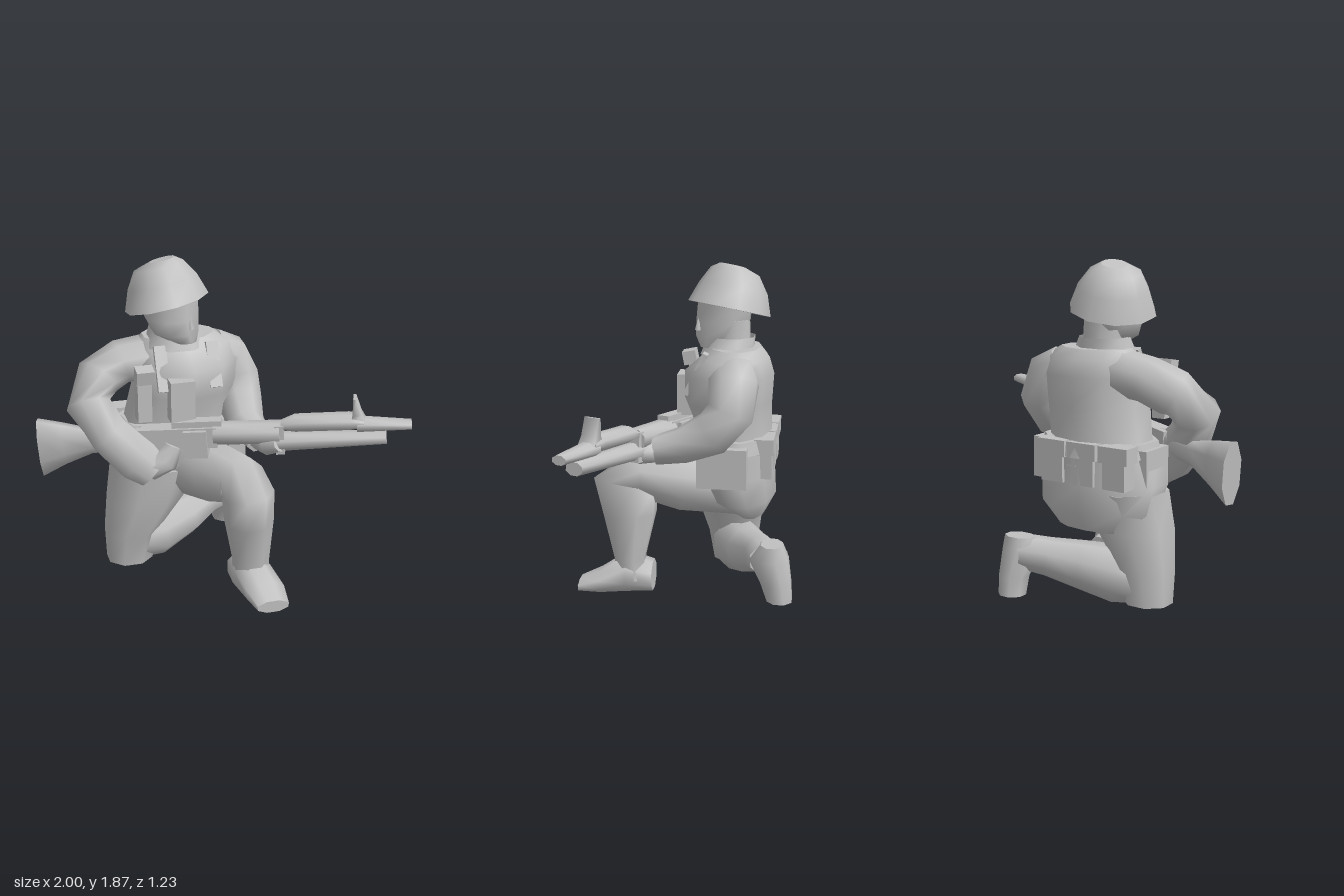
import * as THREE from 'three';

const grey = new THREE.MeshStandardMaterial({ color: 0xc0c0c0, side: THREE.DoubleSide });
grey.name = 'plain grey';

const V = (x, y, z) => new THREE.Vector3(x, y, z);
const X = V(1, 0, 0), Y = V(0, 1, 0), Z = V(0, 0, 1);

function part(parent, name, geometry) {
  const mesh = new THREE.Mesh(geometry, grey);
  mesh.name = name;
  parent.add(mesh);
  return mesh;
}

// Skin over cross-sections [x, y, z, halfA, halfB]; "ref" is the direction of halfA,
// "axis" fixes the plane of all sections instead of following the path.
function loft(sections, ref, { axis = null, sides = 8, caps = true } = {}) {
  const pos = [], index = [], centres = sections.map(s => V(s[0], s[1], s[2]));
  const last = sections.length - 1, grow = 1 / Math.cos(Math.PI / sides);
  const ringPoints = sections.map((s, i) => {
    const t = axis ?? centres[Math.min(i + 1, last)].clone().sub(centres[Math.max(i - 1, 0)]).normalize();
    const a = ref.clone().addScaledVector(t, -ref.dot(t)).normalize();
    const b = t.clone().cross(a);
    return Array.from({ length: sides }, (_, k) => {
      const w = (k + 0.5) / sides * Math.PI * 2;
      return centres[i].clone()
        .addScaledVector(a, Math.cos(w) * s[3] * grow)
        .addScaledVector(b, Math.sin(w) * (s[4] ?? s[3]) * grow);
    });
  });
  ringPoints.forEach(r => r.forEach(p => pos.push(p.x, p.y, p.z)));
  for (let i = 0; i < last; i++) for (let k = 0; k < sides; k++) {
    const n = (k + 1) % sides, o = i * sides, q = o + sides;
    index.push(o + k, o + n, q + n, o + k, q + n, q + k);
  }
  if (caps) for (const i of [0, last]) {
    const o = pos.length / 3;
    ringPoints[i].forEach(p => pos.push(p.x, p.y, p.z));
    for (let k = 1; k < sides - 1; k++)
      index.push(o, ...(i === 0 ? [o + k + 1, o + k] : [o + k, o + k + 1]));
  }
  const g = new THREE.BufferGeometry();
  g.setAttribute('position', new THREE.Float32BufferAttribute(pos, 3));
  g.setIndex(index);
  g.computeVertexNormals();
  return g;
}

function box(parent, name, [x, y, z], [w, h, d], [rx, ry, rz] = [0, 0, 0]) {
  const m = part(parent, name, new THREE.BoxGeometry(w, h, d));
  m.position.set(x, y, z);
  m.rotation.set(rx, ry, rz);
  return m;
}

function buildBody(g) {
  part(g, 'jacket', loft([
    [-0.17, 0.78, -0.23, 0.33, 0.23], [-0.17, 0.92, -0.23, 0.29, 0.21],
    [-0.13, 1.1, -0.2, 0.29, 0.24], [-0.12, 1.26, -0.205, 0.29, 0.245],
    [-0.13, 1.35, -0.24, 0.27, 0.185], [-0.15, 1.405, -0.24, 0.2, 0.14]], X, { axis: Y, sides: 10 }));
  part(g, 'hips', loft([
    [-0.2, 0.42, -0.34, 0.21, 0.08], [-0.19, 0.53, -0.28, 0.34, 0.19],
    [-0.19, 0.68, -0.23, 0.37, 0.23], [-0.17, 0.86, -0.23, 0.33, 0.23]], X, { axis: Y, sides: 10 }));
  part(g, 'rightSleeve', loft([
    [-0.28, 1.28, -0.24, 0.14, 0.12], [-0.48, 1.255, -0.25, 0.13, 0.115], [-0.62, 1.19, -0.21, 0.13, 0.12],
    [-0.7, 1.07, -0.1, 0.12], [-0.6, 0.92, 0.0, 0.1, 0.115], [-0.45, 0.77, 0.05, 0.09, 0.125],
    [-0.37, 0.7, 0.07, 0.08, 0.1]], Z));
  part(g, 'rightHand', loft([
    [-0.4, 0.72, 0.07, 0.07], [-0.3, 0.77, 0.09, 0.07], [-0.26, 0.86, 0.09, 0.05]], Z));
  part(g, 'leftSleeve', loft([
    [0.06, 1.31, -0.24, 0.08, 0.12], [0.15, 1.25, -0.26, 0.11, 0.135], [0.2, 1.1, -0.25, 0.125, 0.13],
    [0.2, 0.98, -0.15, 0.12], [0.19, 0.9, 0.02, 0.1, 0.095], [0.22, 0.87, 0.18, 0.075]], X));
  part(g, 'leftHand', loft([
    [0.22, 0.87, 0.16, 0.06], [0.26, 0.87, 0.25, 0.07, 0.06], [0.3, 0.9, 0.31, 0.05]], X));

  // Front leg, foot planted
  part(g, 'leftTrouserLeg', loft([
    [-0.14, 0.61, -0.25, 0.18, 0.19], [0.0, 0.635, 0.06, 0.16, 0.16], [0.08, 0.69, 0.3, 0.14, 0.125],
    [0.1, 0.64, 0.365, 0.135, 0.175], [0.115, 0.46, 0.335, 0.13, 0.145],
    [0.13, 0.2, 0.335, 0.1, 0.085], [0.13, 0.08, 0.32, 0.1, 0.09]], X));
  part(g, 'leftBoot', loft([
    [0.12, 0.09, 0.2, 0.09, 0.085], [0.13, 0.11, 0.35, 0.11, 0.11],
    [0.17, 0.065, 0.5, 0.11, 0.065], [0.18, 0.04, 0.62, 0.09, 0.035]], X, { axis: Z }));

  // Kneeling leg, shin running back across the ground
  part(g, 'rightThigh', loft([
    [-0.47, 0.01, -0.21, 0.13, 0.12], [-0.455, 0.2, -0.21, 0.15, 0.15],
    [-0.37, 0.42, -0.2, 0.215, 0.19], [-0.31, 0.64, -0.22, 0.24, 0.22]], X, { axis: Y }));
  part(g, 'rightShin', loft([
    [-0.5, 0.12, -0.2, 0.11], [-0.3, 0.15, -0.25, 0.15], [-0.1, 0.19, -0.33, 0.125],
    [0.06, 0.23, -0.42, 0.1], [0.2, 0.25, -0.475, 0.09, 0.11]], Y));
  part(g, 'rightBoot', loft([
    [0.22, 0.015, -0.54, 0.075, 0.07], [0.22, 0.12, -0.52, 0.08, 0.085],
    [0.2, 0.26, -0.475, 0.1, 0.11], [0.2, 0.345, -0.49, 0.085, 0.06]], X, { axis: Y }));
}

function buildHead(g) {
  part(g, 'neck', loft([[-0.17, 1.34, -0.21, 0.11], [-0.18, 1.55, -0.2, 0.11]], X));
  part(g, 'head', loft([
    [-0.14, 1.4, -0.09, 0.06, 0.05], [-0.19, 1.46, -0.13, 0.125, 0.12],
    [-0.205, 1.54, -0.16, 0.145, 0.15], [-0.21, 1.66, -0.17, 0.15, 0.15]], X, { axis: Y }));
  const nose = part(g, 'nose', new THREE.ConeGeometry(0.02, 0.07, 4));
  nose.position.set(-0.12, 1.53, -0.025);
  part(g, 'collar', loft([
    [-0.17, 1.36, -0.19, 0.17, 0.15], [-0.18, 1.46, -0.21, 0.13, 0.13]], X, { axis: Y, caps: false }));

  const helmet = part(g, 'helmet', loft([
    [0, 0, 0, 0.23], [0.005, 0.12, 0, 0.19], [0.005, 0.215, 0.01, 0.135],
    [0.03, 0.245, 0.03, 0.07]], X, { axis: Y, sides: 10 }));
  helmet.position.set(-0.22, 1.605, -0.19);
  helmet.rotation.set(-0.18, 0, 0.2);
}

function buildGear(g) {
  part(g, 'belt', loft([
    [-0.17, 0.83, -0.23, 0.345, 0.245], [-0.17, 0.91, -0.23, 0.325, 0.235]], X, { axis: Y, sides: 10 }));
  box(g, 'leftHipPouch', [0.16, 0.77, -0.2], [0.1, 0.23, 0.28]);
  box(g, 'rightHipPouch', [-0.49, 0.78, -0.22], [0.08, 0.2, 0.22]);
  for (const x of [-0.41, -0.21, -0.01]) {
    box(g, 'backPouch', [x, 0.77, -0.42], [0.14, 0.18, 0.1]);
    box(g, 'backPouchFlap', [x, 0.87, -0.425], [0.18, 0.09, 0.11]);
  }
  box(g, 'chestPouch', [-0.2, 1.11, 0.05], [0.14, 0.24, 0.1]);
  box(g, 'chestRadio', [-0.41, 1.13, 0.02], [0.08, 0.26, 0.09]);
  box(g, 'radioTop', [-0.41, 1.28, 0.06], [0.1, 0.08, 0.08], [0.2, 0, 0]);
  for (const s of [-1, 1])
    box(g, 'frontStrap', [-0.14 + s * 0.15, 1.27, -0.03], [0.07, 0.26, 0.03], [-0.45, 0, 0]);
}

// Rifle built along its own x axis, muzzle at +x
function buildRifle(g) {
  const r = new THREE.Group();
  r.name = 'rifle';
  r.position.set(0, 0.92, 0.16);
  r.rotation.set(0, -0.355, 0.08, 'YXZ');
  g.add(r);
  part(r, 'stock', loft([
    [-1.04, -0.04, 0, 0.06, 0.17], [-0.9, -0.02, 0, 0.06, 0.12],
    [-0.74, -0.01, 0, 0.045, 0.07], [-0.45, 0, 0, 0.045, 0.06]], Z, { axis: X }));
  box(r, 'receiver', [-0.27, 0, 0], [0.5, 0.12, 0.1]);
  box(r, 'receiverCover', [-0.13, 0.07, 0], [0.28, 0.05, 0.07]);
  box(r, 'magazine', [-0.14, -0.03, 0], [0.13, 0.16, 0.15]);
  box(r, 'grip', [-0.36, -0.1, 0], [0.07, 0.14, 0.05], [0, 0, -0.3]);
  part(r, 'handguard', loft([
    [-0.04, 0.01, 0, 0.07, 0.06], [0.33, 0.005, 0, 0.07, 0.06]], Z, { axis: X }));
  box(r, 'bracket', [0.33, -0.03, 0], [0.05, 0.17, 0.1]);
  part(r, 'upperGuard', loft([
    [0.34, 0.045, 0, 0.04, 0.025], [0.42, 0.055, 0, 0.06, 0.045],
    [0.72, 0.055, 0, 0.065, 0.045], [0.8, 0.05, 0, 0.055, 0.03]], Z, { axis: X }));
  part(r, 'muzzle', loft([
    [0.76, 0.035, 0, 0.06, 0.04], [1.06, 0.02, 0, 0.04, 0.025]], Z, { axis: X }));
  part(r, 'underBarrelTube', loft([
    [0.3, -0.055, 0, 0.06, 0.05], [0.92, -0.05, 0, 0.05, 0.035]], Z, { axis: X }));
  part(r, 'frontSight', loft([
    [0.765, 0.05, 0, 0.05, 0.05], [0.765, 0.1, 0, 0.025, 0.045],
    [0.755, 0.195, 0, 0.008, 0.045]], X, { axis: Y, sides: 4 }));
}

export function createModel() {
  const g = new THREE.Group();
  g.name = 'kneelingRifleman';
  buildBody(g);
  buildHead(g);
  buildGear(g);
  buildRifle(g);
  return g;
}
